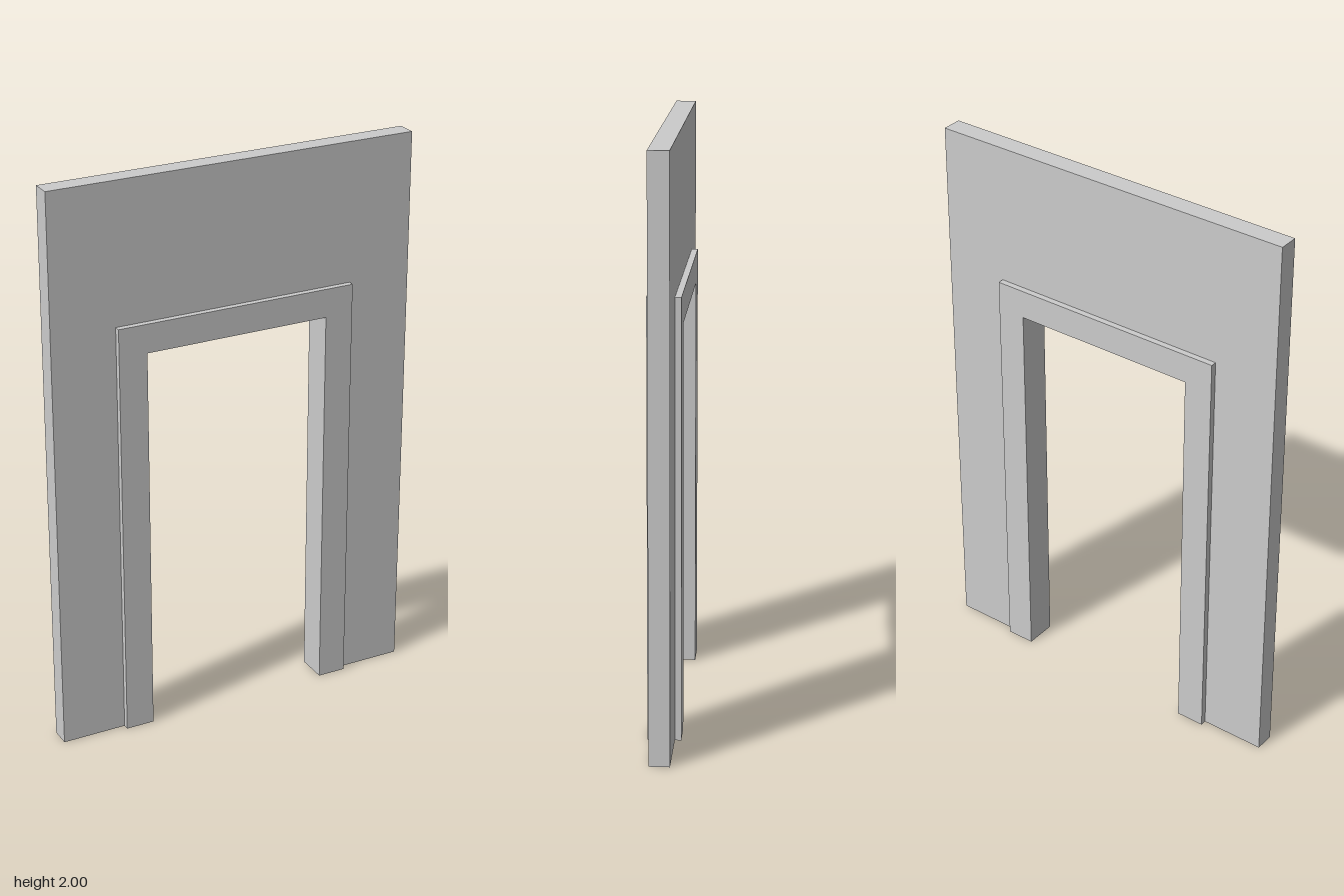
import * as THREE from 'three';

// Upright portal outline (an arch with square corners), extruded and centred on z = 0
function portal(name, outerHalf, outerTop, innerHalf, innerTop, depth, material) {
  const shape = new THREE.Shape([
    [-outerHalf, 0], [-innerHalf, 0], [-innerHalf, innerTop], [innerHalf, innerTop],
    [innerHalf, 0], [outerHalf, 0], [outerHalf, outerTop], [-outerHalf, outerTop],
  ].map(([x, y]) => new THREE.Vector2(x, y)));
  const geometry = new THREE.ExtrudeGeometry(shape, { depth, bevelEnabled: false });
  geometry.translate(0, 0, -depth / 2);
  const mesh = new THREE.Mesh(geometry, material);
  mesh.name = name;
  return mesh;
}

export function createModel() {
  const model = new THREE.Group();
  model.name = 'doorway';
  const grey = new THREE.MeshStandardMaterial({ color: 0xcccccc });

  const frameHalf = 0.437, frameTop = 1.503;
  // Wall panel, cut out to receive the frame
  model.add(portal('wall', 0.667, 2, frameHalf, frameTop, 0.07, grey));
  // Door frame, standing proud of the wall on both faces
  model.add(portal('doorFrame', frameHalf, frameTop, 0.335, 1.401, 0.113, grey));
  return model;
}
